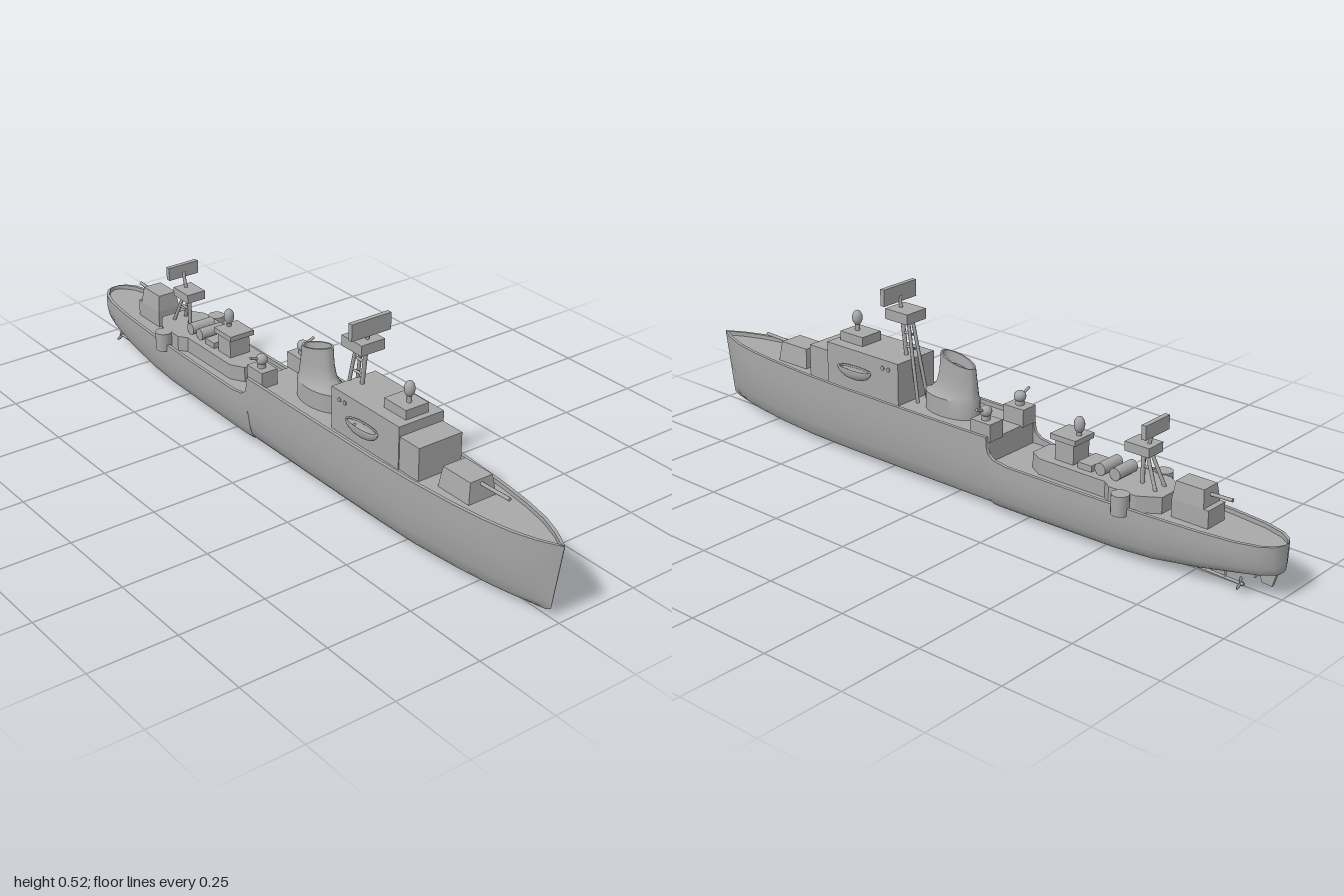
import * as THREE from 'three';
import { toCreasedNormals } from 'three/addons/utils/BufferGeometryUtils.js';

const grey = new THREE.MeshStandardMaterial({ color: 0xa8a8a8, side: THREE.DoubleSide });
grey.name = 'ship grey';

// Skin a list of equal-length closed rings and cap both ends.
function loft(rings, crease = 0.6) {
  const n = rings[0].length, idx = [];
  for (let i = 0; i < rings.length - 1; i++) {
    for (let j = 0; j < n; j++) {
      const a = i * n + j, b = i * n + (j + 1) % n;
      idx.push(a, b, b + n, a, b + n, a + n);
    }
  }
  const last = (rings.length - 1) * n;
  // strip caps, pairing opposite sides of the ring
  for (let j = 0; j < n / 2 - 1; j++) {
    const p = j, q = j + 1, r = n - 2 - j, s = n - 1 - j;
    idx.push(last + p, last + q, last + r, last + p, last + r, last + s, p, r, q, p, s, r);
  }
  const g = new THREE.BufferGeometry();
  g.setAttribute('position', new THREE.Float32BufferAttribute(rings.flat(2), 3));
  g.setIndex(idx);
  return toCreasedNormals(g, crease);
}

export function createModel() {
  const ship = new THREE.Group();
  ship.name = 'warship';

  const add = (name, geo, x = 0, y = 0, z = 0) => {
    const m = new THREE.Mesh(geo, grey);
    m.name = name;
    m.position.set(x, y, z);
    ship.add(m);
    return m;
  };
  // Box given by its x range, y range and half width
  const box = (name, x0, x1, y0, y1, hz, z = 0) =>
    add(name, new THREE.BoxGeometry(x1 - x0, y1 - y0, hz * 2), (x0 + x1) / 2, (y0 + y1) / 2, z);
  const rod = (name, a, b, r, sides = 8) => {
    const p = new THREE.Vector3(...a), q = new THREE.Vector3(...b);
    const m = add(name, new THREE.CylinderGeometry(r, r, p.distanceTo(q), sides));
    m.position.copy(p).lerp(q, 0.5);
    m.quaternion.setFromUnitVectors(new THREE.Vector3(0, 1, 0), q.sub(p).normalize());
    return m;
  };
  const ball = (name, x, y, z, rx, ry) => {
    const m = add(name, new THREE.SphereGeometry(1, 16, 12), x, y, z);
    m.scale.set(rx, ry, rx);
    return m;
  };
  // Plan outline (x, z) raised from y0 to y1
  const slab = (name, pts, y0, y1) => {
    const s = new THREE.Shape(pts.map(([x, z]) => new THREE.Vector2(x, z)));
    const g = new THREE.ExtrudeGeometry(s, { depth: y1 - y0, bevelEnabled: false });
    return add(name, g.rotateX(-Math.PI / 2), 0, y0);
  };

  // Hull: stations of x, half beam, keel height, rail height, deck height
  const F = 0.215, A = 0.15, df = 0.203, da = 0.138;
  const stations = [
    [-1, 0.012, 0.075, A, da], [-0.99, 0.034, 0.066, A, da], [-0.96, 0.056, 0.06, A, da],
    [-0.9, 0.074, 0.052, A, da], [-0.8, 0.086, 0.033, A, da], [-0.66, 0.094, 0.011, A, da],
    [-0.55, 0.098, 0.004, A, da], [-0.4, 0.101, 0.003, A, da], [-0.21, 0.103, 0.001, A, da],
    [-0.165, 0.103, 0, 0.157, da], [-0.147, 0.103, 0, 0.17, da], [-0.141, 0.103, 0, 0.19, da],
    [-0.14, 0.103, 0, F, df], [0.1, 0.104, 0, F, df], [0.4, 0.103, 0, F, df],
    [0.55, 0.098, 0, F, df], [0.7, 0.086, 0, F, df], [0.8, 0.073, 0.001, F, df],
    [0.88, 0.056, 0.003, F, df], [0.94, 0.034, 0.008, F, df], [0.98, 0.013, 0.015, F, df],
    [1, 0.001, 0.024, F, df],
  ];
  const section = [[1, 1], [0.8, 1], [0.55, 0.98], [0.3, 0.9], [0.15, 0.82], [0.09, 0.72], [0.035, 0.45], [0, 0.01]];
  add('hull', loft(stations.map(([x, b, keel, top, deck]) => {
    const bow = Math.max(0, (x - 0.6) / 0.4), inner = Math.max(b - 0.01, b * 0.3);
    const half = [[x, deck, inner], [x, top, inner]];
    for (const [s, w] of section) {
      half.push([x - 0.03 * (1 - s) * bow * bow, keel + (top - keel) * s, b * Math.pow(w, 1 + bow * 1.2)]);
    }
    return [...half, ...half.slice().reverse().map(([px, py, pz]) => [px, py, -pz])];
  }), 0.7));

  // Gun houses with sloped sides and a single barrel
  const gunHouse = (name, x0, x1, y0, y1, hz) => {
    const g = new THREE.BoxGeometry(x1 - x0, y1 - y0, hz * 2);
    const p = g.attributes.position;
    for (let i = 0; i < p.count; i++) {
      if (p.getY(i) > 0) p.setXYZ(i, p.getX(i) * 0.88, p.getY(i), p.getZ(i) * 0.8);
    }
    g.computeVertexNormals();
    add(name, g, (x0 + x1) / 2, (y0 + y1) / 2, 0);
  };
  gunHouse('forwardGunHouse', 0.6, 0.715, 0.2, 0.26, 0.045);
  rod('forwardGunBarrel', [0.69, 0.246, 0], [0.81, 0.25, 0], 0.005);
  box('aftGunBase', -0.8, -0.69, 0.135, 0.187, 0.036);
  gunHouse('aftGunHouse', -0.785, -0.69, 0.187, 0.235, 0.036);
  rod('aftGunBarrel', [-0.77, 0.214, 0], [-0.845, 0.217, 0], 0.005);

  // Bridge block and the lookout house on top
  box('bridgeFront', 0.47, 0.555, 0.2, 0.297, 0.07);
  box('bridgeBlock', 0.205, 0.48, 0.2, 0.325, 0.073);
  box('lookoutHouse', 0.375, 0.462, 0.325, 0.352, 0.037);
  rod('directorPost', [0.43, 0.35, 0], [0.43, 0.38, 0], 0.007);
  ball('forwardDirector', 0.43, 0.39, 0, 0.015, 0.022);
  for (const side of [1, -1]) {
    for (const x of [0.24, 0.262]) {
      rod('porthole', [x, 0.3, side * 0.073], [x, 0.3, side * 0.076], 0.006, 12);
    }
  }

  // Ship's boats on their davits, open on top
  const boatGeo = new THREE.SphereGeometry(1, 20, 8, 0, Math.PI * 2, Math.PI / 2, Math.PI / 2);
  for (const side of [1, -1]) {
    const z = side * 0.092;
    add('boat', boatGeo, 0.355, 0.278, z).scale.set(0.064, 0.03, 0.018);
    add('boatRim', new THREE.TorusGeometry(1, 0.08, 6, 24).rotateX(Math.PI / 2), 0.355, 0.278, z).scale.set(0.06, 0.04, 0.016);
    for (const x of [0.315, 0.395]) rod('davit', [x, 0.265, side * 0.07], [x, 0.262, z], 0.003, 6);
  }

  // Funnel: rings of centre x, radius x, radius z, height, tilt of the rim
  const ring = ([cx, rx, rz, y, tilt]) => Array.from({ length: 28 }, (_, i) => {
    const a = i / 28 * Math.PI * 2, c = Math.cos(a);
    return [cx + rx * c, y + tilt * c, -rz * Math.sin(a)];
  });
  add('funnel', loft([
    [0.068, 0.09, 0.05, 0.2, 0], [0.068, 0.09, 0.05, 0.255, 0], [0.06, 0.079, 0.042, 0.264, 0],
    [0.051, 0.069, 0.035, 0.285, 0], [0.048, 0.063, 0.031, 0.315, 0.005], [0.048, 0.058, 0.03, 0.359, 0.014],
    [0.048, 0.052, 0.025, 0.359, 0.014], [0.048, 0.05, 0.023, 0.33, 0.01],
  ].map(ring)));

  // Radar masts: raking legs, platform box and flat antenna
  for (const s of [1, -1]) {
    rod('mainMastRearLeg', [0.18, 0.2, s * 0.02], [0.225, 0.435, s * 0.008], 0.005);
    rod('aftMastRearLeg', [-0.63, 0.18, s * 0.02], [-0.59, 0.275, s * 0.008], 0.005);
  }
  rod('mainMastFrontLeg', [0.24, 0.32, 0], [0.255, 0.435, 0], 0.006);
  rod('mainMastBrace', [0.208, 0.35, 0], [0.245, 0.35, 0], 0.004);
  rod('mainMastUpperBrace', [0.216, 0.39, 0], [0.25, 0.39, 0], 0.004);
  box('mainMastPlatform', 0.2, 0.283, 0.43, 0.46, 0.038);
  rod('mainAntennaPost', [0.258, 0.455, 0], [0.265, 0.5, 0], 0.005);
  box('mainAntenna', 0.261, 0.275, 0.476, 0.524, 0.064);
  rod('aftMastFrontLeg', [-0.575, 0.18, 0], [-0.575, 0.275, 0], 0.006);
  rod('aftMastBrace', [-0.61, 0.23, 0], [-0.575, 0.23, 0], 0.004);
  box('aftMastPlatform', -0.612, -0.537, 0.27, 0.296, 0.03);
  rod('aftAntennaPost', [-0.59, 0.29, 0], [-0.603, 0.34, 0], 0.005);
  box('aftAntenna', -0.615, -0.601, 0.325, 0.364, 0.05);

  // Midship light guns
  for (const s of [1, -1]) {
    box('lightGunPedestal', -0.147, -0.078, 0.2, 0.25, 0.026, s * 0.068);
    rod('lightGunMount', [-0.112, 0.25, s * 0.07], [-0.112, 0.268, s * 0.07], 0.012, 12);
    ball('lightGun', -0.112, 0.274, s * 0.07, 0.017, 0.016);
    rod('lightGunBarrel', [-0.112, 0.277, s * 0.08], [-0.112, 0.288, s * 0.108], 0.004);
    // Side tubs near the aft mast
    rod('sideTub', [-0.575, 0.13, s * 0.093], [-0.575, 0.185, s * 0.093], 0.024, 20);
  }

  // Aft deckhouse
  const port = [[-0.245, 0.035], [-0.285, 0.058], [-0.5, 0.058], [-0.525, 0.076], [-0.61, 0.076], [-0.665, 0.04]];
  slab('aftDeckhouse', [...port, ...port.slice().reverse().map(([x, z]) => [x, -z])], 0.135, 0.183);
  box('aftDirectorHouse', -0.378, -0.318, 0.18, 0.242, 0.033);
  box('aftDirectorRoof', -0.388, -0.305, 0.24, 0.255, 0.04);
  rod('aftDirectorPost', [-0.37, 0.25, 0], [-0.37, 0.28, 0], 0.007);
  ball('aftDirector', -0.37, 0.285, 0, 0.015, 0.023);
  box('equipmentLocker', -0.44, -0.395, 0.18, 0.2, 0.037);
  for (const x of [-0.515, -0.468]) rod('deckDrum', [x, 0.2, -0.038], [x, 0.2, 0.038], 0.017, 20);

  // Rudder, shafts and propellers
  const rudder = new THREE.Shape([[-0.985, 0.072], [-0.972, 0.028], [-0.942, 0.03], [-0.93, 0.072]].map(p => new THREE.Vector2(...p)));
  add('rudder', new THREE.ExtrudeGeometry(rudder, { depth: 0.01, bevelEnabled: false }), 0, 0, -0.005);
  for (const s of [1, -1]) {
    const z = s * 0.04;
    rod('propellerShaft', [-0.915, 0.028, z], [-0.7, 0.036, z], 0.004);
    rod('shaftStrut', [-0.86, 0.03, z], [-0.86, 0.065, z], 0.003);
    for (let i = 0; i < 3; i++) {
      const blade = add('propellerBlade', new THREE.SphereGeometry(1, 8, 6).translate(0, 1, 0), -0.905, 0.028, z);
      blade.scale.set(0.003, 0.01, 0.006);
      blade.rotation.x = i * Math.PI * 2 / 3;
    }
  }
  return ship;
}
